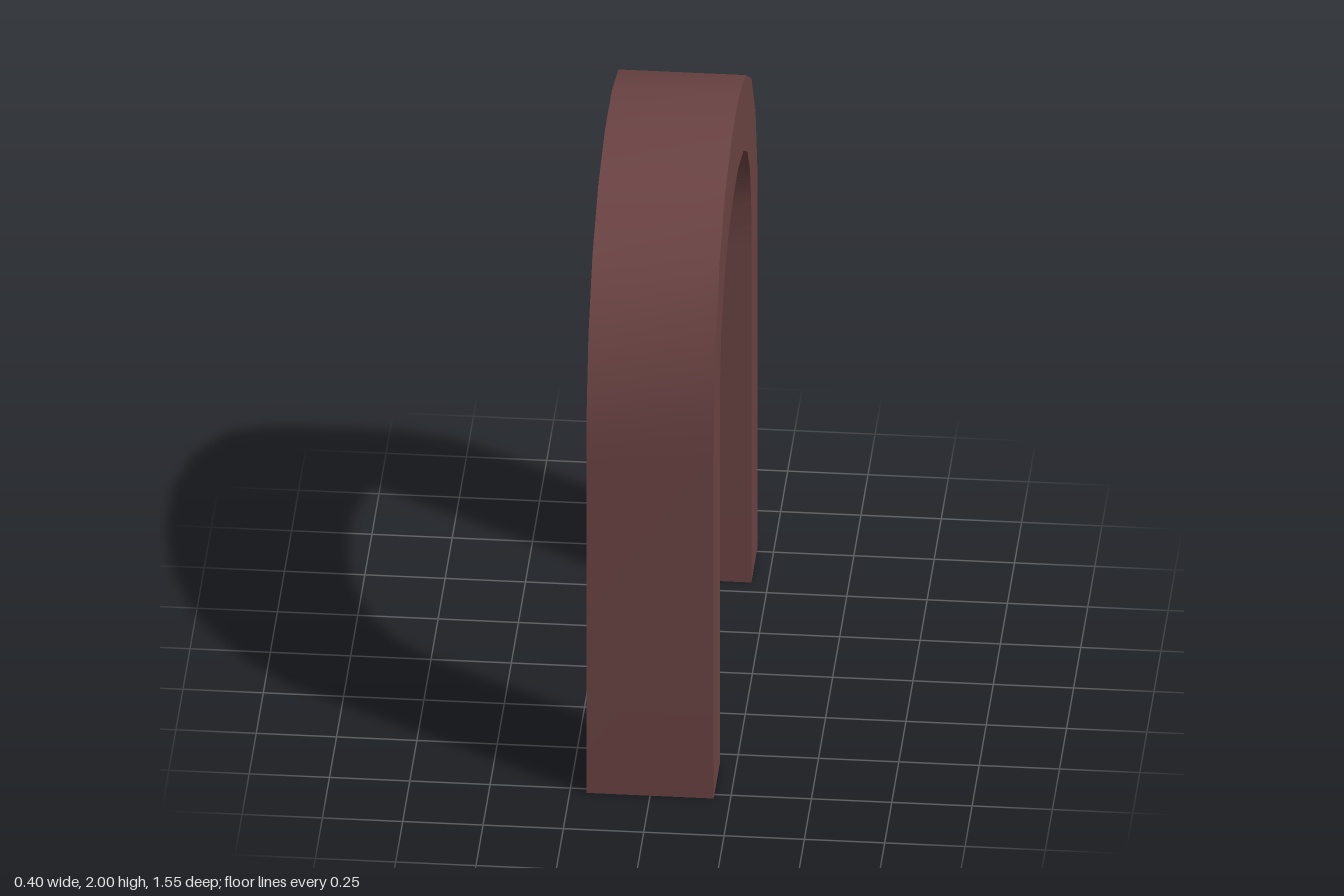
import * as THREE from 'three';
import { toCreasedNormals } from 'three/addons/utils/BufferGeometryUtils.js';

const WIDTH = 0.396;

// Half profiles of the arch as [z, y], from the foot up to the crown
const OUTER = [[0.775, 0], [0.775, 1.2], [0.765, 1.38], [0.705, 1.605], [0.56, 1.81], [0.355, 1.94], [0.12, 2]];
const INNER = [[0.558, 0], [0.558, 1.2], [0.552, 1.365], [0.51, 1.51], [0.417, 1.63], [0.277, 1.713], [0.095, 1.757]];

// Completes a half profile with its mirror image, foot to foot
function fullProfile(half) {
  const mirrored = half.map(([z, y]) => [-z, y]).reverse();
  return [...half, ...mirrored].map(([z, y]) => new THREE.Vector2(z, y));
}

export function createModel() {
  const group = new THREE.Group();
  group.name = 'archway';

  // Arch band: over the outer curve, back along the inner one
  const shape = new THREE.Shape([...fullProfile(OUTER), ...fullProfile(INNER).reverse()]);
  const extruded = new THREE.ExtrudeGeometry(shape, { depth: WIDTH, bevelEnabled: false });
  extruded.translate(0, 0, -WIDTH / 2);
  extruded.rotateY(Math.PI / 2);

  // Smooth around the curve, sharp at the sides and feet
  const arch = new THREE.Mesh(
    toCreasedNormals(extruded, 0.6),
    new THREE.MeshStandardMaterial({ color: 0x6b4343 })
  );
  arch.name = 'arch';
  group.add(arch);
  return group;
}
